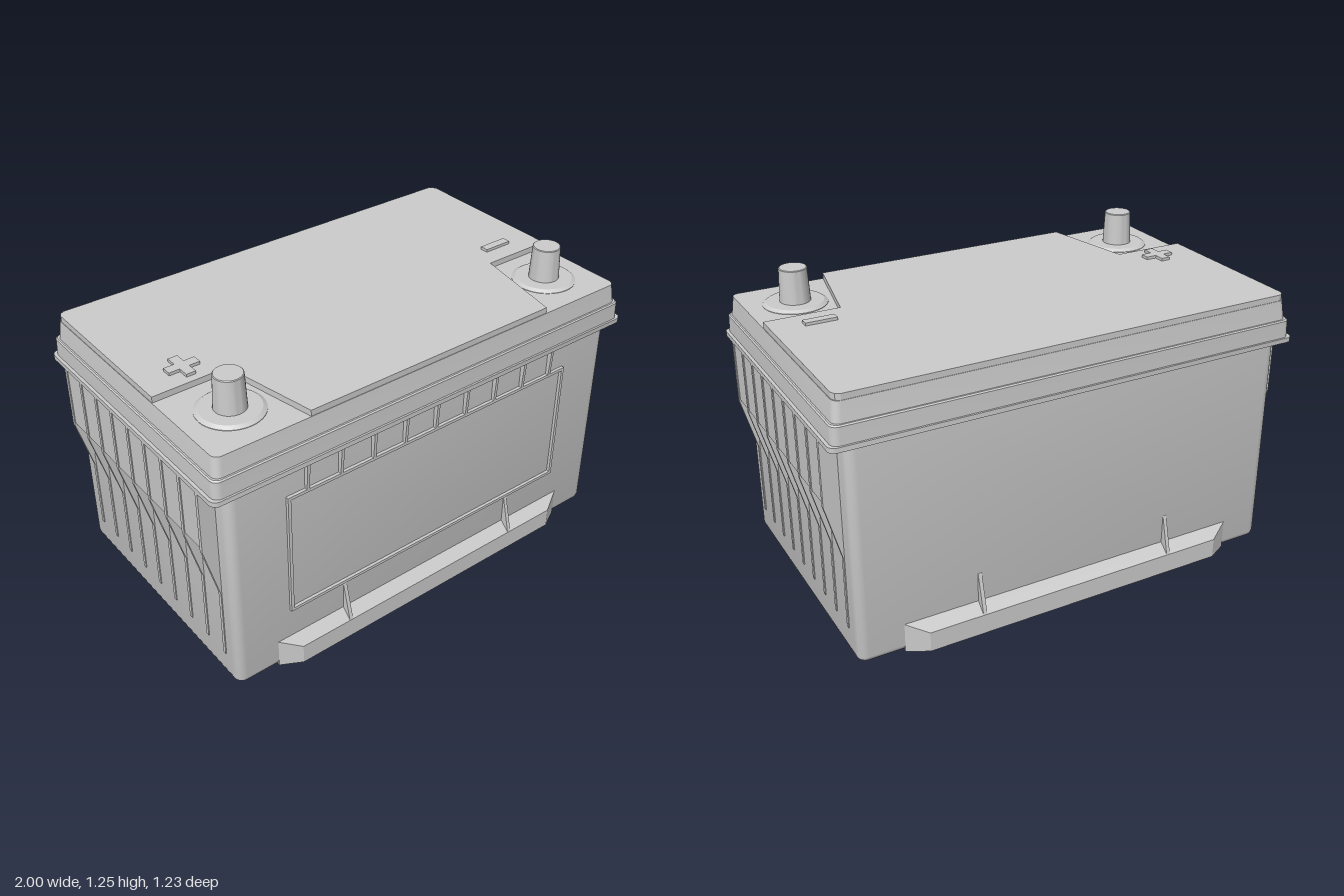
import * as THREE from 'three';
import { toCreasedNormals } from 'three/addons/utils/BufferGeometryUtils.js';
import { ConvexGeometry } from 'three/addons/geometries/ConvexGeometry.js';

const material = new THREE.MeshStandardMaterial({ color: 0xcccccc });

function part(parent, name, geometry) {
  const mesh = new THREE.Mesh(geometry, material);
  mesh.name = name;
  parent.add(mesh);
  return mesh;
}

// Rounded-rectangle outline at height y
function ring([y, hx, hz, r], segments = 6) {
  const points = [];
  [[1, 1], [-1, 1], [-1, -1], [1, -1]].forEach(([sx, sz], corner) => {
    for (let i = 0; i <= segments; i++) {
      const a = (corner + i / segments) * Math.PI / 2;
      points.push([sx * (hx - r) + r * Math.cos(a), y, sz * (hz - r) + r * Math.sin(a)]);
    }
  });
  return points;
}

// Closed solid through a stack of outlines [y, halfX, halfZ, cornerRadius]
function loft(sections) {
  const rings = sections.map((s) => ring(s));
  const n = rings[0].length;
  const last = rings.length - 1;
  const pos = [];
  for (let j = 0; j < n; j++) {
    const k = (j + 1) % n;
    for (let i = 0; i < last; i++) {
      const a = rings[i][j], b = rings[i][k], c = rings[i + 1][k], d = rings[i + 1][j];
      pos.push(...a, ...d, ...c, ...a, ...c, ...b);
    }
    pos.push(0, sections[0][0], 0, ...rings[0][j], ...rings[0][k]);
    pos.push(0, sections[last][0], 0, ...rings[last][k], ...rings[last][j]);
  }
  const g = new THREE.BufferGeometry();
  g.setAttribute('position', new THREE.Float32BufferAttribute(pos, 3));
  return toCreasedNormals(g, 0.6);
}

const shapeOf = (points) => new THREE.Shape(points.map(([x, y]) => new THREE.Vector2(x, y)));
const extrude = (shape, depth) => new THREE.ExtrudeGeometry(shape, { depth, bevelEnabled: false });

// Plate with an [x, z] outline, standing on height y
function plate(points, y, height) {
  return extrude(shapeOf(points.map(([x, z]) => [x, -z])), height).rotateX(-Math.PI / 2).translate(0, y, 0);
}

// Thin upright fin: [outward, y] profile, turned to face a side, shifted along that side
function fin(profile, thickness, turn, shift) {
  return extrude(shapeOf(profile), thickness).translate(0, 0, shift - thickness / 2).rotateY(turn);
}

export function createModel() {
  const group = new THREE.Group();
  group.name = 'battery';

  // Case with softened bottom edge
  part(group, 'case', loft([
    [0, 0.905, 0.54, 0.02], [0.005, 0.92, 0.555, 0.03], [0.014, 0.93, 0.565, 0.035],
    [0.03, 0.935, 0.57, 0.04], [0.93, 0.935, 0.57, 0.04],
  ]));

  // Lid: flange, band and tapered crown
  const lid = new THREE.Group();
  lid.name = 'lid';
  group.add(lid);
  part(lid, 'lidFlange', loft([[0.925, 1, 0.595, 0.03], [0.945, 1, 0.595, 0.03]]));
  part(lid, 'lidBand', loft([[0.94, 0.987, 0.587, 0.03], [1.015, 0.985, 0.585, 0.03], [1.02, 0.98, 0.58, 0.03]]));
  part(lid, 'lidCrown', loft([[1.015, 0.974, 0.574, 0.03], [1.1, 0.964, 0.564, 0.03]]));

  // Top plate, cut away around both terminals
  const half = [[0.57, 0.562], [0.65, 0.16], [0.962, 0.16], [0.962, -0.535], [0.953, -0.553], [0.935, -0.562]];
  const outline = [...half, ...half.map(([x, z]) => [-x, z]).reverse()];
  part(lid, 'lidTop', plate(outline, 1.095, 0.03));

  // Terminals: flared washer and tapered post
  const terminalProfile = [[0.13, 1.095], [0.13, 1.102], [0.115, 1.112], [0.062, 1.112], [0.056, 1.247], [0.053, 1.25], [0, 1.25]]
    .map(([x, y]) => new THREE.Vector2(x, y));
  for (const s of [-1, 1]) {
    const terminal = part(group, s > 0 ? 'negativeTerminal' : 'positiveTerminal',
      toCreasedNormals(new THREE.LatheGeometry(terminalProfile, 40), 0.5));
    terminal.position.set(s * 0.765, 0, 0.355);
  }

  // Raised polarity marks
  const a = 0.02, b = 0.065;
  const cross = [[a, b], [a, a], [b, a], [b, -a], [a, -a], [a, -b], [-a, -b], [-a, -a], [-b, -a], [-b, a], [-a, a], [-a, b]];
  part(group, 'positiveMark', plate(cross, 1.12, 0.017)).position.set(-0.78, 0, 0.062);
  part(group, 'negativeMark', new THREE.BoxGeometry(0.13, 0.017, 0.036)).position.set(0.77, 1.1285, 0.062);

  // End panels with nine long tapering ribs
  const ribProfile = [[0.92, 0.12], [0.939, 0.12], [0.939, 0.43], [1, 0.66], [1, 0.927], [0.92, 0.927]];
  for (const turn of [0, Math.PI]) {
    const side = turn ? 'right' : 'left';
    const panel = part(group, side + 'EndPanel', new THREE.BoxGeometry(0.076, 0.257, 0.97));
    panel.position.set((turn ? -1 : 1) * 0.958, 0.7985, 0.005);
    for (let i = 0; i < 9; i++) {
      const z = 0.485 - i * 0.12;
      part(group, side + 'EndRib', fin(ribProfile, 0.016, turn, turn ? -z : z));
    }
  }

  // Label frame and the short ribs above it
  const frame = shapeOf([[-0.692, 0.262], [0.692, 0.262], [0.692, 0.81], [-0.692, 0.81]]);
  frame.holes.push(new THREE.Path([[-0.679, 0.275], [-0.679, 0.797], [0.679, 0.797], [0.679, 0.275]]
    .map(([x, y]) => new THREE.Vector2(x, y))));
  part(group, 'labelFrame', extrude(frame, 0.023)).position.z = 0.56;
  for (let i = -4; i <= 4; i++) {
    part(group, 'frontRib', fin([[0.56, 0.8], [0.583, 0.8], [0.591, 0.927], [0.56, 0.927]], 0.012, -Math.PI / 2, -i * 0.151));
  }

  // Hold-down ledges with gussets, front and back
  const ledgePoints = [];
  for (const s of [-1, 1]) {
    for (const [x, y, z] of [[0.75, 0, 0.56], [0.75, 0, 0.57], [0.665, 0, 0.615], [0.665, 0.085, 0.615], [0.75, 0.125, 0.57], [0.75, 0.125, 0.56]]) {
      ledgePoints.push(new THREE.Vector3(s * x, y, z));
    }
  }
  for (const turn of [0, Math.PI]) {
    const side = turn ? 'back' : 'front';
    part(group, side + 'Ledge', new ConvexGeometry(ledgePoints)).rotation.y = turn;
    for (const x of [-0.43, 0.43]) {
      part(group, side + 'Gusset', fin([[0.56, 0.05], [0.614, 0.05], [0.614, 0.085], [0.571, 0.25], [0.56, 0.25]], 0.016, turn - Math.PI / 2, x));
    }
  }
  return group;
}
